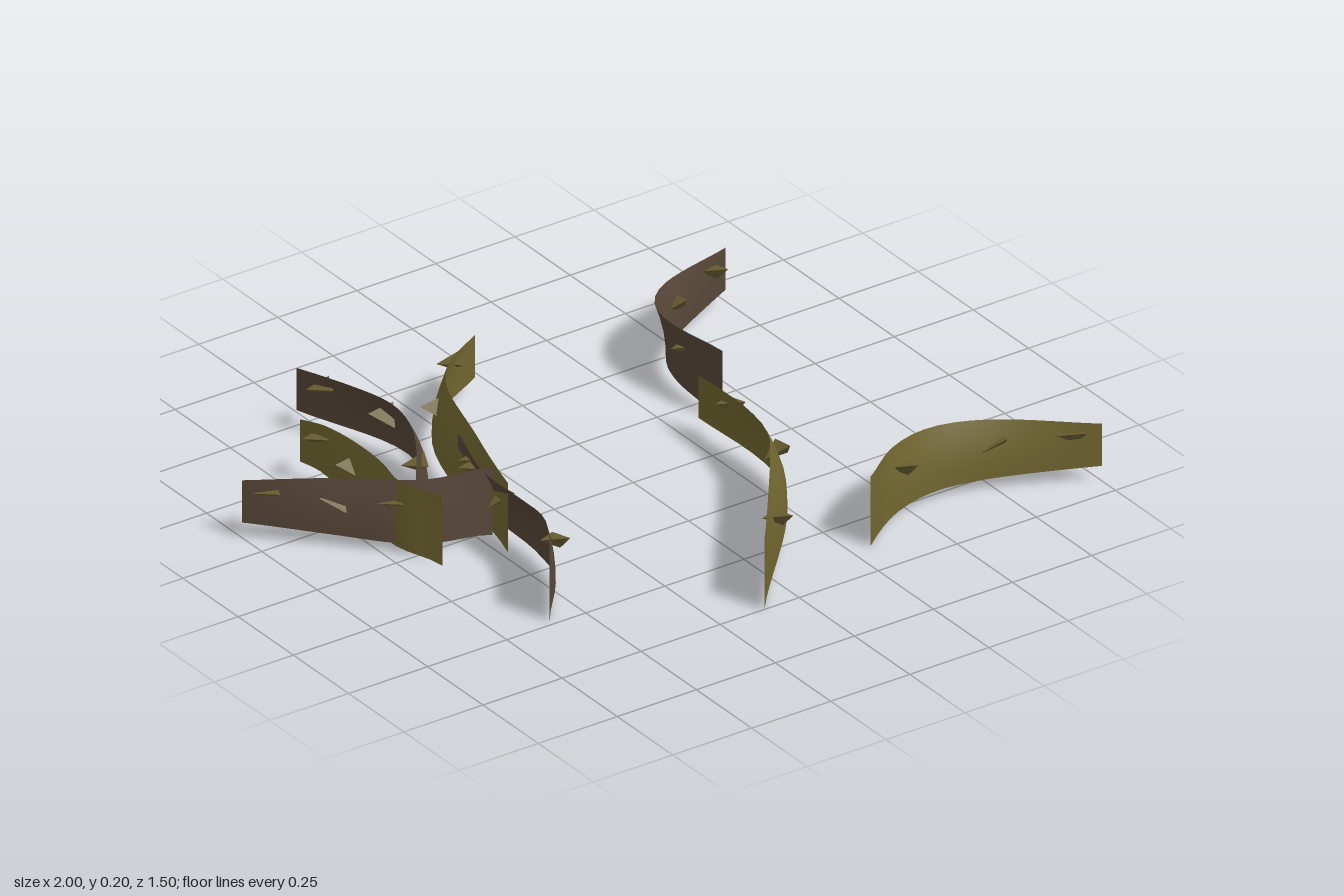
import * as THREE from 'three';

const olive = new THREE.MeshStandardMaterial({ name: 'mossOlive', color: 0x70652f, side: THREE.DoubleSide });
const brown = new THREE.MeshStandardMaterial({ name: 'barkBrown', color: 0x574638, side: THREE.DoubleSide });
const splinterColour = new THREE.MeshStandardMaterial({ name: 'splinterOlive', color: 0x6a5f32 });

// Upright sheet swept along a ground curve; it narrows from its first end to its last
function sheet(curve, lean) {
  const geo = new THREE.PlaneGeometry(1, 1, 18, 4);
  const pos = geo.attributes.position;
  for (let i = 0; i < pos.count; i++) {
    const t = pos.getX(i) + 0.5, v = pos.getY(i) + 0.5;
    const p = curve.getPointAt(t), dir = curve.getTangentAt(t);
    const low = 0.045 * t ** 0.6;
    const top = 0.205 - 0.035 * t * t;
    // the lower edge kicks out sideways at mid length and the ends stay straight
    const s = lean * Math.sin(Math.PI * t) ** 1.5 * (0.5 - v + 0.3 * Math.sin(Math.PI * v));
    pos.setXYZ(i, p.x - dir.z * s, low + (top - low) * v, p.z + dir.x * s);
  }
  geo.computeVertexNormals();
  return geo;
}

// Flattened three-sided splinter pointing to +z
const splinterShape = new THREE.ConeGeometry(0.045, 0.07, 3).toNonIndexed();
splinterShape.rotateX(Math.PI / 2);
splinterShape.scale(1, 0.5, 1);
splinterShape.computeVertexNormals();

// One bark strip with three splinters stuck through it
function strip(name, material, lean, heading, ...points) {
  const group = new THREE.Group();
  group.name = name;
  const curve = new THREE.CatmullRomCurve3(
    points.map(([x, z]) => new THREE.Vector3(x, 0, z)), false, 'centripetal');
  const bark = new THREE.Mesh(sheet(curve, lean), material);
  bark.name = 'barkSheet';
  group.add(bark);
  [0.24, 0.62, 0.88].forEach((t, i) => {
    const splinter = new THREE.Mesh(splinterShape, splinterColour);
    splinter.name = 'splinter';
    splinter.position.copy(curve.getPointAt(t)).setY(i === 1 ? 0.12 : 0.14);
    splinter.rotation.set(i === 1 ? 0.35 : -0.25, heading, 0.2, 'YXZ');
    group.add(splinter);
  });
  return group;
}

export function createModel() {
  const model = new THREE.Group();
  model.name = 'barkStrips';
  const side = -Math.PI / 2;
  model.add(
    strip('frontLeftStrip', olive, 0.035, side, [0.31, 0.63], [0.45, 0.54], [0.58, 0.51], [0.72, 0.54], [1, 0.69]),
    strip('middleStrip', olive, 0.045, side, [-0.11, 0.75], [0.18, 0.4], [0.26, 0.27], [0.29, 0.12], [0.29, -0.12]),
    strip('backLeftStrip', brown, 0.03, side, [0.38, -0.14], [0.37, -0.35], [0.4, -0.45], [0.47, -0.52], [0.74, -0.64]),
    strip('backCentreStrip', olive, -0.045, 0, [-0.48, 0.12], [-0.42, -0.12], [-0.33, -0.4], [-0.24, -0.52], [-0.06, -0.63]),
    strip('backRightStrip', brown, 0.05, 0, [-0.66, -0.04], [-0.51, -0.23], [-0.46, -0.34], [-0.45, -0.45], [-0.54, -0.75]),
    strip('rightUprightStrip', olive, -0.03, 0, [-0.66, 0.08], [-0.71, -0.05], [-0.69, -0.18], [-0.67, -0.45], [-0.69, -0.52]),
    strip('farRightStrip', brown, -0.025, 0, [-0.46, 0.02], [-0.63, -0.01], [-0.71, -0.06], [-0.8, -0.15], [-1, -0.34]),
    strip('frontRightStrip', brown, 0.05, side, [-0.6, 0.48], [-0.49, 0.32], [-0.47, 0.2], [-0.46, 0], [-0.4, -0.22]),
  );
  return model;
}
